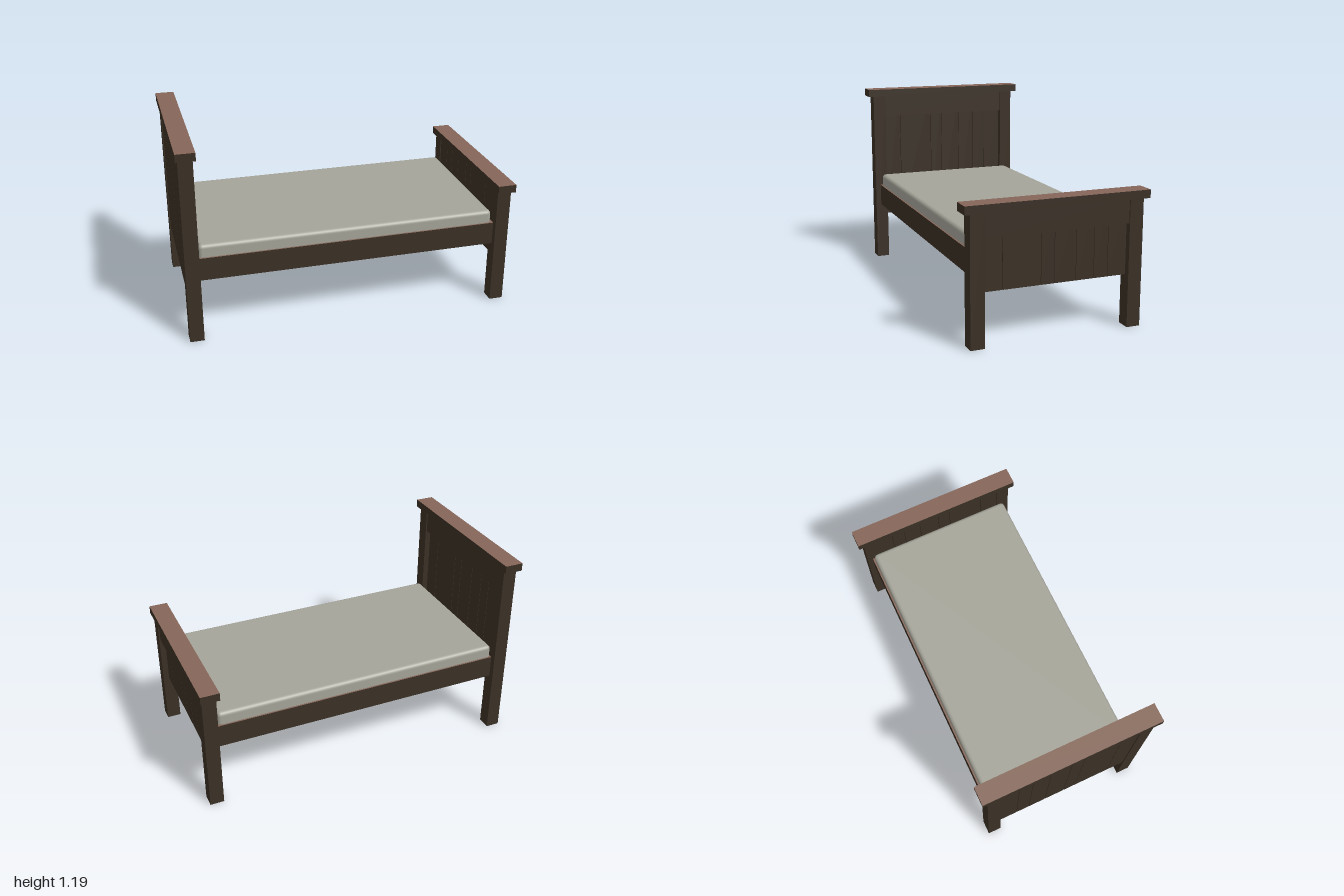
import * as THREE from 'three';
import { RoundedBoxGeometry } from 'three/addons/geometries/RoundedBoxGeometry.js';

export function createModel() {
  const darkWood = new THREE.MeshStandardMaterial({ name: 'dark wood', color: 0x3a3025 });
  const warmWood = new THREE.MeshStandardMaterial({ name: 'warm wood', color: 0x856658 });
  const linen = new THREE.MeshStandardMaterial({ name: 'linen', color: 0xa5a499 });
  // Box faces run +x, -x, +y, -y, +z, -z: only the upper face is warm
  const warmTop = [darkWood, darkWood, warmWood, darkWood, darkWood, darkWood];

  // Box from its minimum and maximum on each axis
  function box(parent, name, [x0, x1], [y0, y1], [z0, z1], material = darkWood) {
    const mesh = new THREE.Mesh(new THREE.BoxGeometry(x1 - x0, y1 - y0, z1 - z0), material);
    mesh.position.set((x0 + x1) / 2, (y0 + y1) / 2, (z0 + z1) / 2);
    mesh.name = name;
    parent.add(mesh);
    return mesh;
  }

  // Plank joints across the end boards
  const joints = [-0.43, -0.315, -0.23, -0.12, 0.01, 0.09, 0.315, 0.43];
  const gap = 0.003;

  // Posts, planks, top rail and cap of one end
  function endBoard(name, x, height) {
    const board = new THREE.Group();
    board.name = name;
    board.position.x = x;
    const capBottom = height - 0.048;

    for (const side of [-1, 1]) {
      const z = side * 0.47;
      box(board, 'post', [-0.042, 0.042], [0, capBottom], [z - 0.041, z + 0.041]);
    }
    for (let i = 0; i < joints.length - 1; i++) {
      box(board, 'plank', [-0.036, 0.006], [0.303, capBottom],
        [joints[i] + gap / 2, joints[i + 1] - gap / 2]);
    }
    box(board, 'topRail', [0.006, 0.034], [height - 0.187, capBottom], [-0.43, 0.43]);
    box(board, 'cap', [-0.056, 0.056], [capBottom, height], [-0.545, 0.545], warmTop);
    return board;
  }

  const bed = new THREE.Group();
  bed.name = 'bed';
  bed.add(endBoard('headboard', -0.944, 1.19), endBoard('footboard', 0.944, 0.79));

  // Solid base between the side rails
  box(bed, 'base', [-0.938, 0.91], [0.382, 0.515], [-0.425, 0.425]);
  for (const side of [-1, 1]) {
    box(bed, 'sideRail', [-0.91, 0.91], [0.38, 0.52],
      side > 0 ? [0.425, 0.477] : [-0.477, -0.425], warmTop);
  }

  // Soft-edged mattress
  const mattress = new THREE.Mesh(new RoundedBoxGeometry(1.79, 0.1, 0.935, 4, 0.024), linen);
  mattress.name = 'mattress';
  mattress.position.set(-0.005, 0.547, 0);
  bed.add(mattress);

  return bed;
}
